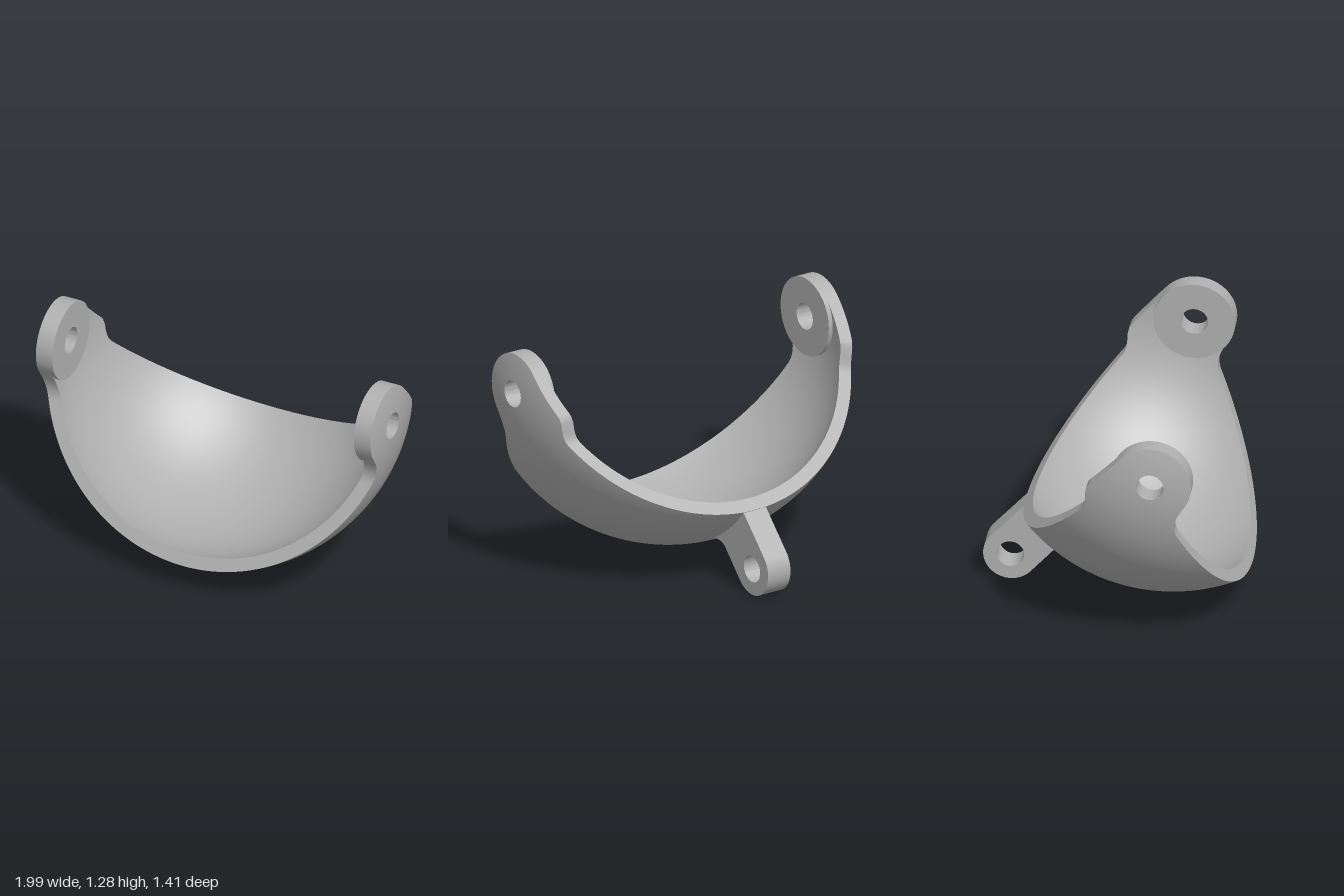
import * as THREE from 'three';
import { toCreasedNormals } from 'three/addons/utils/BufferGeometryUtils.js';

// Pivot centre of the spherical shell (z, y); edges below are (z, y) relative to it
const CZ = 0.284, CY = 1.07;
const R_OUT = 1, R_IN = 0.93, LUG_R = 0.214, HOLE_R = 0.072, LUG_X = 0.88;

// Front edge: fillet off the lug, then straight down
const frontEdge = new THREE.Path();
frontEdge.moveTo(0.1755, -0.1225);
frontEdge.quadraticCurveTo(0.0975, -0.227, 0.134, -0.304);
frontEdge.lineTo(0.45, -0.969);

// Back edge: tangent off the lug, small step, then a straight slope
const backEdge = new THREE.Path();
backEdge.moveTo(-0.1556, 0.1468);
backEdge.lineTo(-0.327, -0.035);
backEdge.quadraticCurveTo(-0.349, -0.058, -0.348, -0.11);
backEdge.quadraticCurveTo(-0.347, -0.168, -0.372, -0.195);
backEdge.lineTo(-0.81, -0.671);

const frontPts = frontEdge.getSpacedPoints(240);
const backPts = backEdge.getSpacedPoints(240);

// Angle of an edge at a given distance from the pivot
function edgeAngle(pts, rho) {
  let i = 1;
  while (i < pts.length - 1 && pts[i].length() < rho) i++;
  const a = pts[i - 1], b = pts[i];
  const k = THREE.MathUtils.clamp((rho - a.length()) / (b.length() - a.length()), 0, 1);
  const p = a.clone().lerp(b, k);
  return (Math.atan2(p.y, p.x) + 2 * Math.PI) % (2 * Math.PI);
}

// Point on a sphere of radius R: t runs from right lug (-1) to left lug (1),
// v from the back edge (0) to the front edge (1)
function shellPoint(R, t, v) {
  const a = Math.asin(LUG_R / R);
  const theta = a + (Math.PI / 2 - a) * Math.pow(1 - Math.abs(t), 1.4);
  const rho = R * Math.sin(theta);
  const phi = THREE.MathUtils.lerp(edgeAngle(backPts, rho), edgeAngle(frontPts, rho), v);
  return new THREE.Vector3(
    Math.sign(t) * R * Math.cos(theta), rho * Math.sin(phi), rho * Math.cos(phi));
}

// Grid surface from a rule, facing along du x dv
function sheet(nu, nv, rule) {
  const pos = [], index = [];
  for (let i = 0; i <= nu; i++)
    for (let j = 0; j <= nv; j++) pos.push(...rule((2 * i) / nu - 1, j / nv).toArray());
  for (let i = 0; i < nu; i++)
    for (let j = 0; j < nv; j++) {
      const a = i * (nv + 1) + j, b = a + nv + 1;
      index.push(a, b, b + 1, a, b + 1, a + 1);
    }
  const g = new THREE.BufferGeometry();
  g.setAttribute('position', new THREE.Float32BufferAttribute(pos, 3));
  g.setIndex(index);
  g.computeVertexNormals();
  return g;
}

export function createModel() {
  const grey = new THREE.MeshStandardMaterial({ color: 0xb0b0b0, side: THREE.DoubleSide });
  grey.name = 'light grey';
  const model = new THREE.Group();
  model.name = 'pivotingShell';
  const add = (name, geometry, parent) => {
    const mesh = new THREE.Mesh(geometry, grey);
    mesh.name = name;
    parent.add(mesh);
    return mesh;
  };

  // Spherical shell with its two rims
  const shell = new THREE.Group();
  shell.name = 'shell';
  shell.position.set(0, CY, CZ);
  model.add(shell);
  const N = 128;
  add('outerShell', sheet(N, 64, (t, v) => shellPoint(R_OUT, t, v)), shell);
  add('innerShell', sheet(N, 64, (t, v) => shellPoint(R_IN, t, 1 - v)), shell);
  const rim = (v, from, to) => sheet(N, 1, (t, k) =>
    shellPoint(from, t, v).lerp(shellPoint(to, t, v), k));
  add('frontRim', rim(1, R_OUT, R_IN), shell);
  add('backRim', rim(0, R_IN, R_OUT), shell);

  // Round pivot lugs: flat inside, domed outside, drilled through
  const profile = [new THREE.Vector2(HOLE_R, LUG_X), new THREE.Vector2(LUG_R, LUG_X)];
  for (let i = 0; i <= 8; i++) {
    const r = THREE.MathUtils.lerp(LUG_R, HOLE_R, i / 8);
    profile.push(new THREE.Vector2(r, Math.sqrt(R_OUT * R_OUT - r * r)));
  }
  profile.push(profile[0].clone());
  const lugGeometry = toCreasedNormals(
    new THREE.LatheGeometry(profile, 64).rotateZ(-Math.PI / 2), 0.6);
  add('leftLug', lugGeometry, shell);
  add('rightLug', lugGeometry, shell).scale.x = -1;

  // Rear arm with an eyelet, rooted inside the shell thickness
  const AZ = -0.5615, AY = 0.146, AR = 0.143, HALF = 0.072;
  const slope = Math.atan2(0.686, -0.727);
  const arm = new THREE.Shape();
  arm.moveTo(-0.468, 0.459);
  arm.absarc(AZ, AY, AR, slope, slope + Math.PI, false);
  arm.lineTo(-0.326, 0.192);
  arm.quadraticCurveTo(-0.29, 0.228, -0.224, 0.212);
  arm.lineTo(-0.205, 0.243);
  arm.absarc(CZ, CY, 0.96, Math.atan2(-0.827, -0.489), Math.atan2(-0.613, -0.754), true);
  const hole = new THREE.Path();
  hole.absarc(AZ, AY, HOLE_R, 0, Math.PI * 2, true);
  arm.holes.push(hole);
  const armGeometry = new THREE.ExtrudeGeometry(arm, {
    depth: HALF * 2, bevelEnabled: false, curveSegments: 32 });
  armGeometry.translate(0, 0, -HALF).rotateY(-Math.PI / 2);
  add('rearArm', toCreasedNormals(armGeometry, 0.6), model);

  return model;
}
